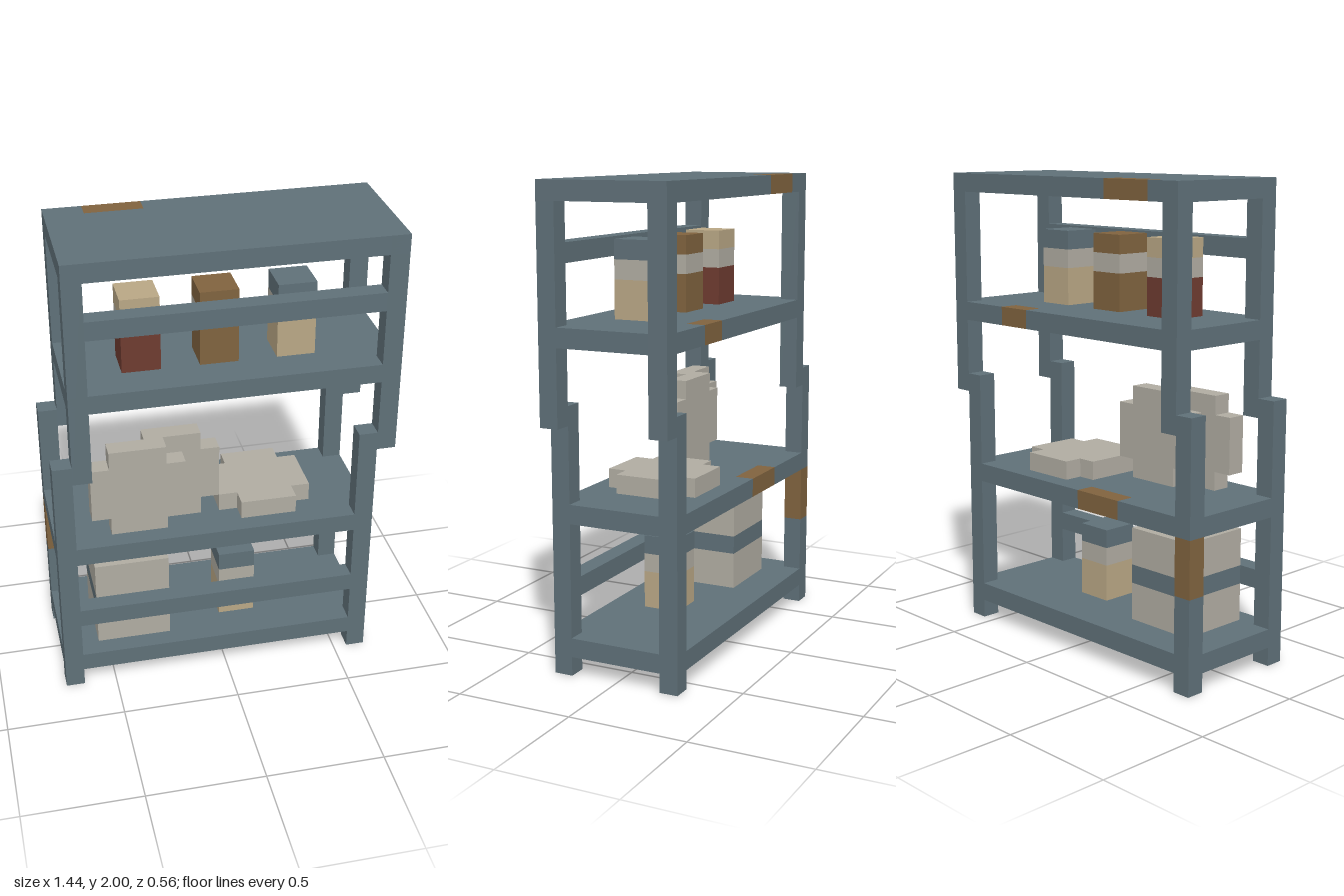
import * as THREE from 'three';

const flat = (name, color) => {
  const m = new THREE.MeshStandardMaterial({ color });
  m.name = name;
  return m;
};

export function createModel() {
  const slate = flat('slate metal', 0x5f7078);
  const cream = flat('pale grey', 0xb0aca2);
  const tan = flat('tan', 0xb9a785);
  const brown = flat('rust brown', 0x80633f);
  const red = flat('dark red', 0x6e3b30);

  const U = 0.08; // one grid cell; the shelf is a stack of square cells
  const model = new THREE.Group();
  model.name = 'shelvingUnit';

  const group = (name) => {
    const g = new THREE.Group();
    g.name = name;
    model.add(g);
    return g;
  };

  // Block between two corners, given in cells (x and z from the centre)
  const block = (parent, name, mat, [x0, x1], [y0, y1], [z0, z1]) => {
    const mesh = new THREE.Mesh(
      new THREE.BoxGeometry((x1 - x0) * U, (y1 - y0) * U, (z1 - z0) * U), mat);
    mesh.position.set((x0 + x1) / 2 * U, (y0 + y1) / 2 * U, (z0 + z1) / 2 * U);
    mesh.name = name;
    parent.add(mesh);
  };

  const BACK = [-3.5, -2.5], FRONT = [2.5, 3.5];

  // Shelf boards, each with an optional rusty stretch in its back edge
  const shelf = (name, x, y, rust) => {
    const g = group(name);
    const ys = [y, y + 1];
    if (!rust) return block(g, 'board', slate, x, ys, [-3.5, 3.5]);
    block(g, 'board', slate, x, ys, [-2.5, 3.5]);
    block(g, 'backEdgeRight', slate, [x[0], rust[0]], ys, BACK);
    block(g, 'rustPatch', brown, rust, ys, BACK);
    block(g, 'backEdgeLeft', slate, [rust[1], x[1]], ys, BACK);
  };
  const LOWER = [-9, 8], UPPER = [-8, 9];
  shelf('bottomShelf', LOWER, 1);
  shelf('lowerShelf', LOWER, 8, [-4, -1]);
  shelf('upperShelf', UPPER, 17, [3, 5]);
  shelf('topBoard', UPPER, 24, [-6, -3]);

  // Posts: the upper frame sits one cell to the side of the lower frame
  const posts = group('posts');
  for (const z of [BACK, FRONT]) {
    for (const x of [-9, 7]) {
      const xs = [x, x + 1];
      if (x === -9 && z === BACK) {
        block(posts, 'lowerPostFoot', slate, xs, [0, 5], z);
        block(posts, 'rustPatch', brown, xs, [5, 8], z);
        block(posts, 'lowerPostTop', slate, xs, [8, 14], z);
      } else {
        block(posts, 'lowerPost', slate, xs, [0, 14], z);
      }
    }
    for (const x of [-8, 8]) block(posts, 'upperPost', slate, [x, x + 1], [13, 25], z);
  }

  // Guard rails along the front
  block(model, 'lowerRail', slate, [-8, 7], [4, 5], FRONT);
  block(model, 'upperRail', slate, [-7, 8], [21, 22], FRONT);

  // Canisters: coloured body, pale band and lid
  const canister = (x, y, body, lid) => {
    const g = group('canister');
    const xs = [x, x + 2], zs = [-0.5, 1.5];
    block(g, 'body', body, xs, [y, y + 2], zs);
    block(g, 'band', cream, xs, [y + 2, y + 3], zs);
    block(g, 'lid', lid, xs, [y + 3, y + 4], zs);
  };
  canister(-5, 18, red, tan);
  canister(-1, 18, brown, brown);
  canister(3, 18, tan, slate);
  canister(0, 2, tan, slate);

  // Large crate with a dark band
  const crate = group('crate');
  [[2, 4, cream], [4, 5, slate], [5, 7, cream]].forEach(([a, b, mat]) =>
    block(crate, mat === slate ? 'crateBand' : 'crateBody', mat, [-7, -3], [a, b], [-1.5, 2.5]));

  // Plates: five-cell discs with the corners cut away
  const disc = new THREE.Shape(
    [[-1.5, -2.5], [1.5, -2.5], [1.5, -1.5], [2.5, -1.5], [2.5, 1.5], [1.5, 1.5],
      [1.5, 2.5], [-1.5, 2.5], [-1.5, 1.5], [-2.5, 1.5], [-2.5, -1.5], [-1.5, -1.5]]
      .map(([x, y]) => new THREE.Vector2(x * U, y * U)));
  const plateGeometry = new THREE.ExtrudeGeometry(disc, { depth: U, bevelEnabled: false });
  const plate = (name, x, y, z, tilt = 0) => {
    const mesh = new THREE.Mesh(plateGeometry, cream);
    mesh.position.set(x * U, y * U, z * U);
    mesh.rotation.x = tilt;
    mesh.name = name;
    model.add(mesh);
  };
  plate('frontStandingPlate', -4.5, 11.5, 1.5);
  plate('rearStandingPlate', -2.5, 11.5, 0.5);
  plate('lyingPlate', 2.5, 9, 0, -Math.PI / 2);

  return model;
}
